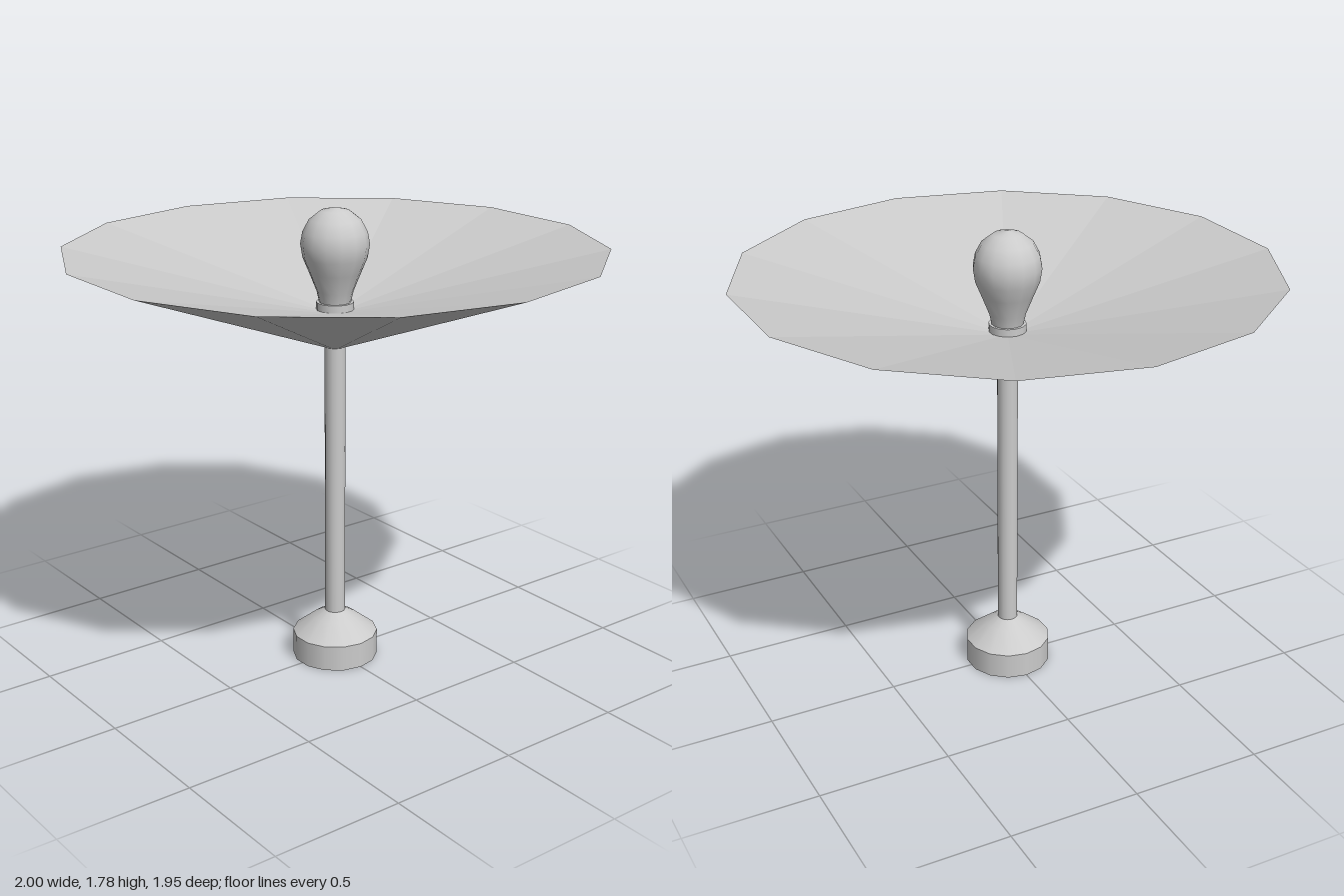
import * as THREE from 'three';

const SIDES = 14;
const smooth = new THREE.MeshStandardMaterial({ color: 0xcccccc });
const flat = new THREE.MeshStandardMaterial({ color: 0xcccccc, flatShading: true });

// Turns each [radius, y] profile (bottom to top on the outside) into its own
// lathe, so the joints between profiles stay sharp. A corner points along +x.
function turned(name, material, ...profiles) {
  const part = new THREE.Group();
  part.name = name;
  for (const profile of profiles) {
    const points = profile.map(([r, y]) => new THREE.Vector2(r, y));
    const mesh = new THREE.Mesh(new THREE.LatheGeometry(points, SIDES, Math.PI / 2), material);
    mesh.name = name;
    part.add(mesh);
  }
  return part;
}

export function createModel() {
  const lamp = new THREE.Group();
  lamp.name = 'floorLamp';

  // Weighted foot: underside, drum wall and domed top
  lamp.add(turned('base', smooth,
    [[0, 0], [0.165, 0]],
    [[0.165, 0], [0.165, 0.1]],
    [[0.165, 0.1], [0.085, 0.163], [0.036, 0.19]]));

  lamp.add(turned('pole', smooth, [[0.039, 0.18], [0.039, 1.27]]));

  // Wide dish: steep outside, shallower inside, meeting in a thin rim
  lamp.add(turned('shade', flat,
    [[0.039, 1.26], [1, 1.63]],
    [[1, 1.63], [0.001, 1.385]]));

  // Socket collar in the middle of the dish
  lamp.add(turned('socket', smooth,
    [[0.07, 1.38], [0.07, 1.43]],
    [[0.07, 1.43], [0, 1.43]]));

  // Pear-shaped bulb
  lamp.add(turned('bulb', smooth, [
    [0.058, 1.425], [0.068, 1.47], [0.096, 1.54], [0.119, 1.595], [0.127, 1.645],
    [0.119, 1.69], [0.095, 1.735], [0.054, 1.767], [0, 1.78],
  ]));

  return lamp;
}
